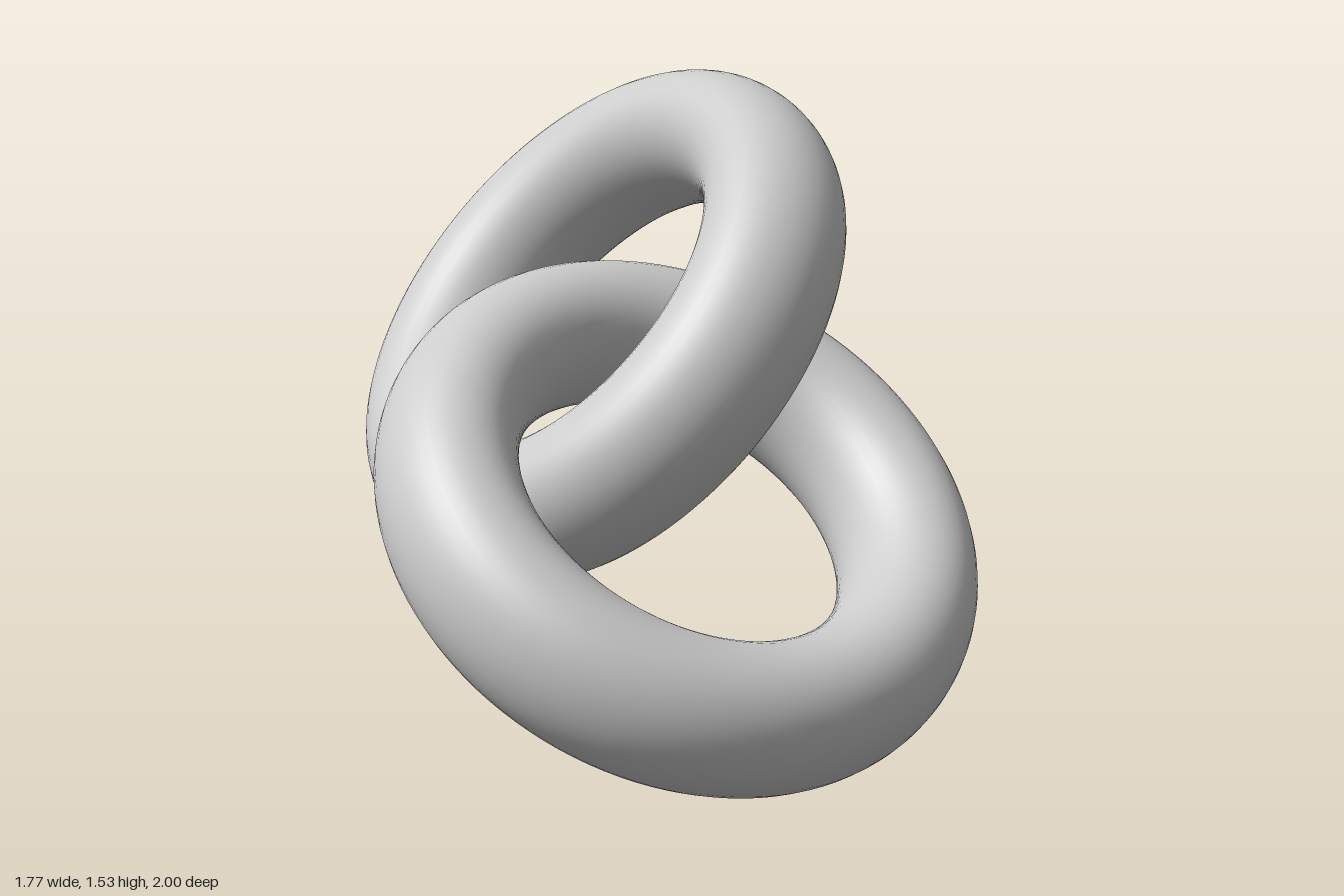
import * as THREE from 'three';

const RING_RADIUS = 0.601;
const TUBE_RADIUS = 0.168; // half thickness across the ring's face
const TUBE_DEPTH = 0.2; // half thickness along the ring's axis

export function createModel() {
  const group = new THREE.Group();
  group.name = 'interlockedRings';

  const grey = new THREE.MeshStandardMaterial({ color: 0xcccccc });
  grey.name = 'light grey';

  // Ring with an oval cross-section, deeper along its axis
  const geometry = new THREE.TorusGeometry(RING_RADIUS, TUBE_RADIUS, 40, 120);
  geometry.scale(1, 1, TUBE_DEPTH / TUBE_RADIUS);
  const torusAxis = new THREE.Vector3(0, 0, 1);

  // Each ring is turned so its axis follows the given direction
  function addRing(name, centre, axis) {
    const ring = new THREE.Mesh(geometry, grey);
    ring.name = name;
    ring.position.set(...centre);
    ring.quaternion.setFromUnitVectors(torusAxis, new THREE.Vector3(...axis).normalize());
    group.add(ring);
  }

  // Two linked rings, each passing through the other's hole
  addRing('frontRing', [0.178, 0.556, 0.27], [0.471, 0.794, 0.382]);
  addRing('backRing', [-0.202, 0.897, -0.32], [-0.53, 0.652, 0.55]);

  return group;
}
